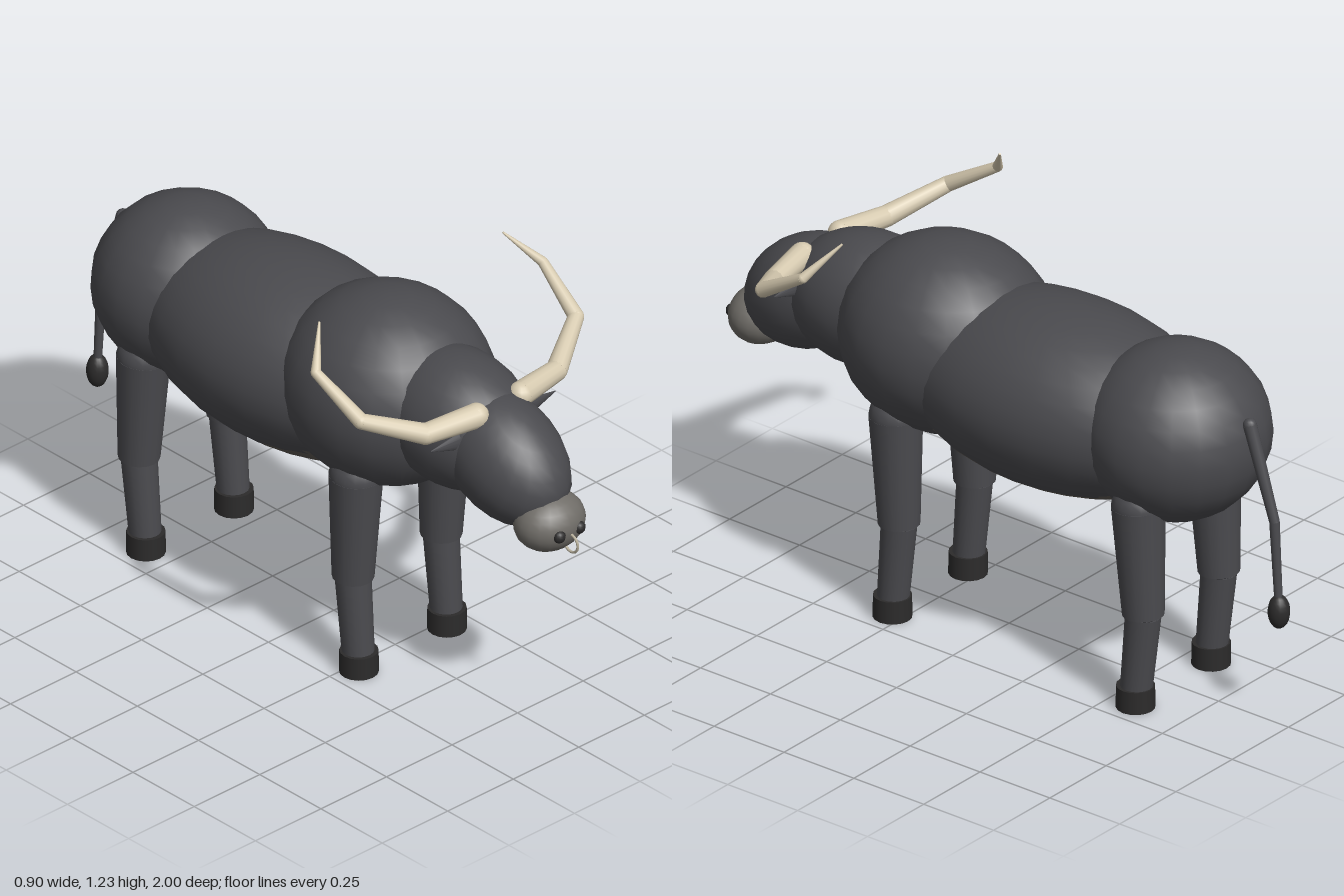
import * as THREE from 'three';

const material = (name, color) => {
  const m = new THREE.MeshStandardMaterial({ color });
  m.name = name;
  return m;
};

export function createModel() {
  const model = new THREE.Group();
  model.name = 'buffalo';
  const hide = material('hide', 0x4a4a4e);
  const underside = material('underside', 0x5c5751);
  const muzzleGrey = material('muzzleGrey', 0x706d68);
  const dark = material('dark', 0x2c2b2b);
  const horn = material('horn', 0xd6cab0);
  const metal = material('metal', 0xb8b09c);

  const add = (name, geometry, mat, parent = model) => {
    const mesh = new THREE.Mesh(geometry, mat);
    mesh.name = name;
    parent.add(mesh);
    return mesh;
  };

  // Ellipsoid from centre and half sizes, pitched about x
  const blob = (name, mat, pos, radii, pitch = 0, parent = model, segs = 20) => {
    const mesh = add(name, new THREE.SphereGeometry(1, segs, Math.round(segs * 0.7)), mat, parent);
    mesh.scale.set(...radii);
    mesh.position.set(...pos);
    mesh.rotation.x = pitch;
    return mesh;
  };

  // Tapered cylinder between two points
  const limb = (name, mat, a, b, ra, rb, parent = model, segs = 14) => {
    const from = new THREE.Vector3(...a), to = new THREE.Vector3(...b);
    const dir = to.clone().sub(from);
    const mesh = add(name, new THREE.CylinderGeometry(rb, ra, dir.length(), segs), mat, parent);
    mesh.position.copy(from).add(to).multiplyScalar(0.5);
    mesh.quaternion.setFromUnitVectors(new THREE.Vector3(0, 1, 0), dir.normalize());
    return mesh;
  };

  // Body masses
  blob('barrel', hide, [0, 0.793, -0.18], [0.313, 0.27, 0.52], 0, model, 24);
  blob('belly', underside, [0, 0.75, -0.17], [0.28, 0.234, 0.5], 0, model, 24);
  blob('shoulders', hide, [0, 0.847, 0.22], [0.297, 0.288, 0.32]);
  blob('rump', hide, [0, 0.808, -0.6], [0.272, 0.26, 0.27]);
  blob('neck', hide, [0, 0.86, 0.5], [0.19, 0.198, 0.26], 0.1);

  // Head
  blob('head', hide, [0, 0.82, 0.7], [0.155, 0.165, 0.23], 0.5);
  blob('muzzle', muzzleGrey, [0, 0.69, 0.88], [0.11, 0.086, 0.092]);
  const ring = add('noseRing', new THREE.TorusGeometry(0.028, 0.004, 8, 24), metal);
  ring.rotation.y = Math.PI / 2;
  ring.position.set(0, 0.653, 0.968);

  // Horn path from root to tip: position and radius
  const hornPath = [
    [[0.085, 0.972, 0.672], 0.037],
    [[0.25, 0.968, 0.642], 0.031],
    [[0.41, 1.035, 0.55], 0.023],
    [[0.433, 1.132, 0.39], 0.015],
    [[0.35, 1.23, 0.315], 0.003],
  ];

  for (const side of [1, -1]) {
    const label = side > 0 ? 'left' : 'right';
    const flip = ([x, y, z]) => [x * side, y, z];

    blob(label + 'Nostril', dark, [0.038 * side, 0.686, 0.962], [0.019, 0.019, 0.016], 0, model, 12);

    const ear = limb(label + 'Ear', hide, flip([0.1, 0.897, 0.65]), flip([0.237, 0.908, 0.65]), 0.036, 0.002);
    ear.scale.z = 0.45;

    const hornGroup = new THREE.Group();
    hornGroup.name = label + 'Horn';
    model.add(hornGroup);
    for (let i = 0; i < hornPath.length - 1; i++) {
      const [a, ra] = hornPath[i], [b, rb] = hornPath[i + 1];
      limb('hornSegment', horn, flip(a), flip(b), ra, rb, hornGroup);
      blob('hornJoint', horn, flip(a), [ra, ra, ra], 0, hornGroup, 14);
    }

    // Legs: z of hip, knee, ankle
    const legs = [['Front', 0.27, 0.258, 0.28], ['Hind', -0.598, -0.616, -0.59]];
    for (const [end, hipZ, kneeZ, footZ] of legs) {
      const leg = new THREE.Group();
      leg.name = label + end + 'Leg';
      leg.position.x = 0.168 * side;
      model.add(leg);
      blob('hip', hide, [0, 0.635, hipZ], [0.077, 0.077, 0.077], 0, leg, 16);
      limb('upperLeg', hide, [0, 0.635, hipZ], [0, 0.3, kneeZ], 0.077, 0.06, leg, 16);
      blob('knee', hide, [0, 0.308, kneeZ], [0.058, 0.024, 0.058], 0, leg, 16);
      limb('shin', hide, [0, 0.3, kneeZ], [0, 0.05, footZ], 0.052, 0.046, leg, 16);
      limb('hoof', dark, [0, 0, footZ + 0.002], [0, 0.068, footZ + 0.002], 0.056, 0.055, leg, 16);
    }
  }

  // Tail
  const tail = new THREE.Group();
  tail.name = 'tail';
  model.add(tail);
  blob('tailRoot', hide, [0, 0.905, -0.862], [0.02, 0.02, 0.02], 0, tail, 12);
  limb('upperTail', hide, [0, 0.905, -0.862], [0, 0.63, -0.95], 0.02, 0.015, tail);
  blob('tailBend', hide, [0, 0.63, -0.95], [0.015, 0.015, 0.015], 0, tail, 12);
  limb('lowerTail', hide, [0, 0.63, -0.95], [0, 0.38, -0.965], 0.015, 0.012, tail);
  blob('tailTuft', dark, [0, 0.353, -0.966], [0.032, 0.052, 0.032], 0, tail, 16);

  return model;
}
